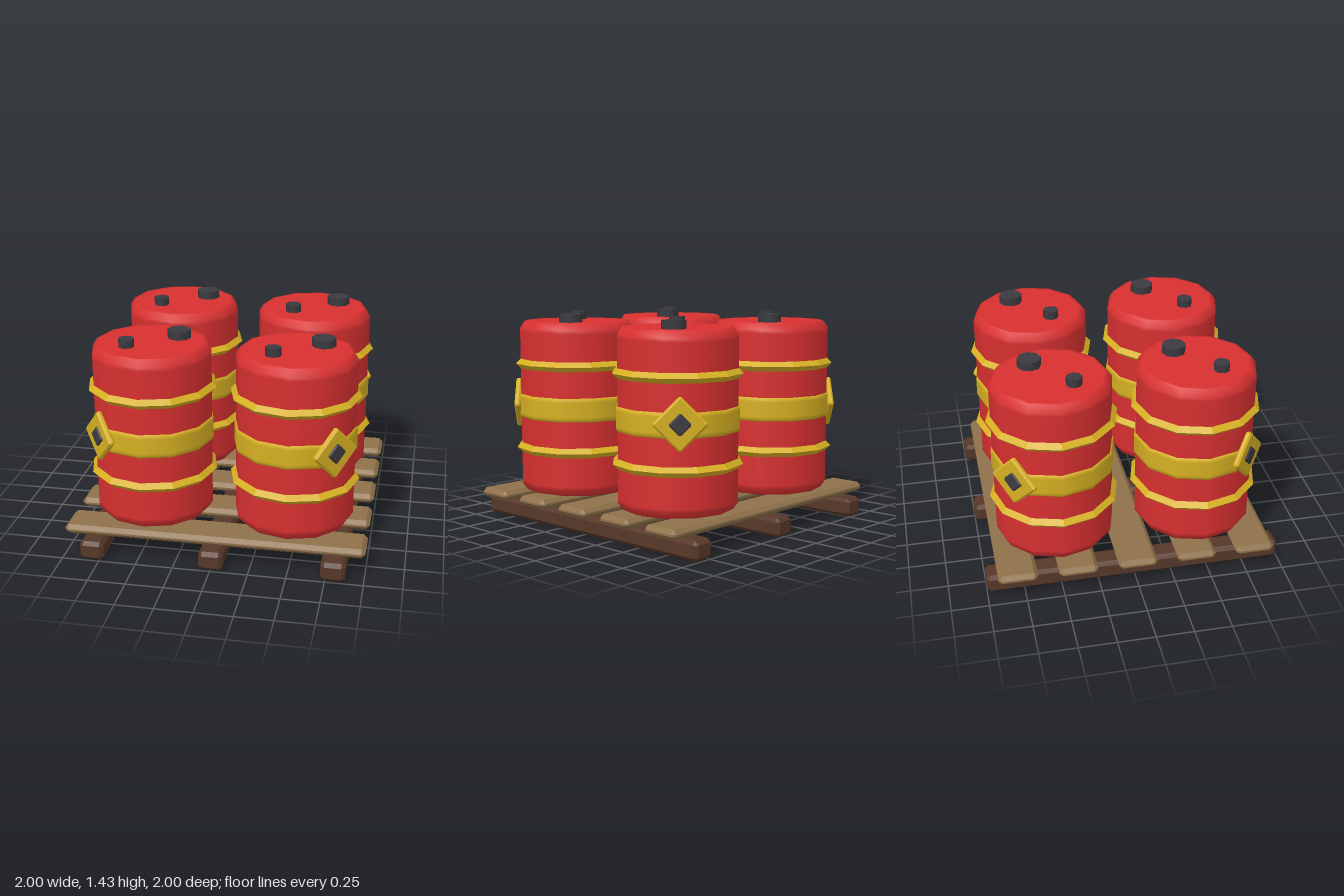
import * as THREE from 'three';
import { ConvexGeometry } from 'three/addons/geometries/ConvexGeometry.js';

const mat = (name, color) => Object.assign(new THREE.MeshStandardMaterial({ color }), { name });

// Box with every edge and corner cut by c
function chamferBox(w, h, d, c) {
  const pts = [];
  for (const x of [-1, 1]) for (const y of [-1, 1]) for (const z of [-1, 1]) {
    for (let axis = 0; axis < 3; axis++) {
      const half = [w / 2 - c, h / 2 - c, d / 2 - c];
      half[axis] += c;
      pts.push(new THREE.Vector3(x * half[0], y * half[1], z * half[2]));
    }
  }
  return new ConvexGeometry(pts);
}

const lathe = (profile) =>
  new THREE.LatheGeometry(profile.map(([r, y]) => new THREE.Vector2(r, y)), 12);

// Diamond-section hoop with crisp facets
function hoopGeometry() {
  const g = new THREE.TorusGeometry(0.4, 0.033, 4, 12).rotateX(Math.PI / 2).toNonIndexed();
  g.computeVertexNormals();
  return g;
}

export function createModel() {
  const red = mat('drum red', 0xd83030);
  const yellow = mat('hoop yellow', 0xd6b022);
  const dark = mat('cap dark grey', 0x3a3a40);
  const plankWood = mat('plank wood', 0x8f714b);
  const runnerWood = mat('runner wood', 0x573829);

  const root = new THREE.Group();
  root.name = 'drumsOnPallet';

  const add = (parent, name, geometry, material, x = 0, y = 0, z = 0) => {
    const m = new THREE.Mesh(geometry, material);
    m.name = name;
    m.position.set(x, y, z);
    parent.add(m);
    return m;
  };

  // Pallet: three runners under five planks
  const pallet = new THREE.Group();
  pallet.name = 'pallet';
  root.add(pallet);
  const runner = chamferBox(0.16, 0.13, 2, 0.025);
  for (const x of [-0.8, 0, 0.8]) add(pallet, 'runner', runner, runnerWood, x, 0.065, 0);
  const plank = chamferBox(2, 0.065, 0.26, 0.026);
  for (let i = -2; i <= 2; i++) add(pallet, 'plank', plank, plankWood, 0, 0.175, i * 0.4);

  // Shared drum parts
  const body = lathe([
    [0, 0.205], [0.35, 0.205], [0.37, 0.205], [0.4, 0.25], [0.4, 0.27],
    [0.4, 1.31], [0.4, 1.335], [0.37, 1.38], [0.35, 1.38], [0, 1.38],
  ]);
  const band = lathe([
    [0.39, 0.715], [0.402, 0.717], [0.41, 0.735], [0.41, 0.75],
    [0.41, 0.85], [0.41, 0.865], [0.402, 0.878], [0.39, 0.88],
  ]);
  const hoop = hoopGeometry();
  const bigCap = new THREE.CylinderGeometry(0.08, 0.08, 0.07, 8);
  const smallCap = new THREE.CylinderGeometry(0.053, 0.053, 0.07, 8);
  const plate = chamferBox(0.25, 0.25, 0.04, 0.012).rotateZ(Math.PI / 4);
  const mark = chamferBox(0.11, 0.11, 0.03, 0.012).rotateZ(Math.PI / 4);

  for (const sx of [-1, 1]) for (const sz of [-1, 1]) {
    const drum = new THREE.Group();
    drum.name = 'drum';
    drum.position.set(sx * 0.48, 0, sz * 0.48);
    root.add(drum);
    add(drum, 'body', body, red);
    add(drum, 'band', band, yellow);
    for (const y of [0.505, 1.09]) add(drum, 'hoop', hoop, yellow, 0, y, 0);
    add(drum, 'largeCap', bigCap, dark, 0.16, 1.4, -0.115);
    add(drum, 'smallCap', smallCap, dark, -0.135, 1.4, 0.13);

    // Diamond label facing the outer corner
    const label = new THREE.Group();
    label.name = 'label';
    label.rotation.y = Math.atan2(sx, sz);
    drum.add(label);
    add(label, 'labelPlate', plate, yellow, 0, 0.808, 0.41);
    add(label, 'labelMark', mark, dark, 0, 0.808, 0.425);
  }
  return root;
}
